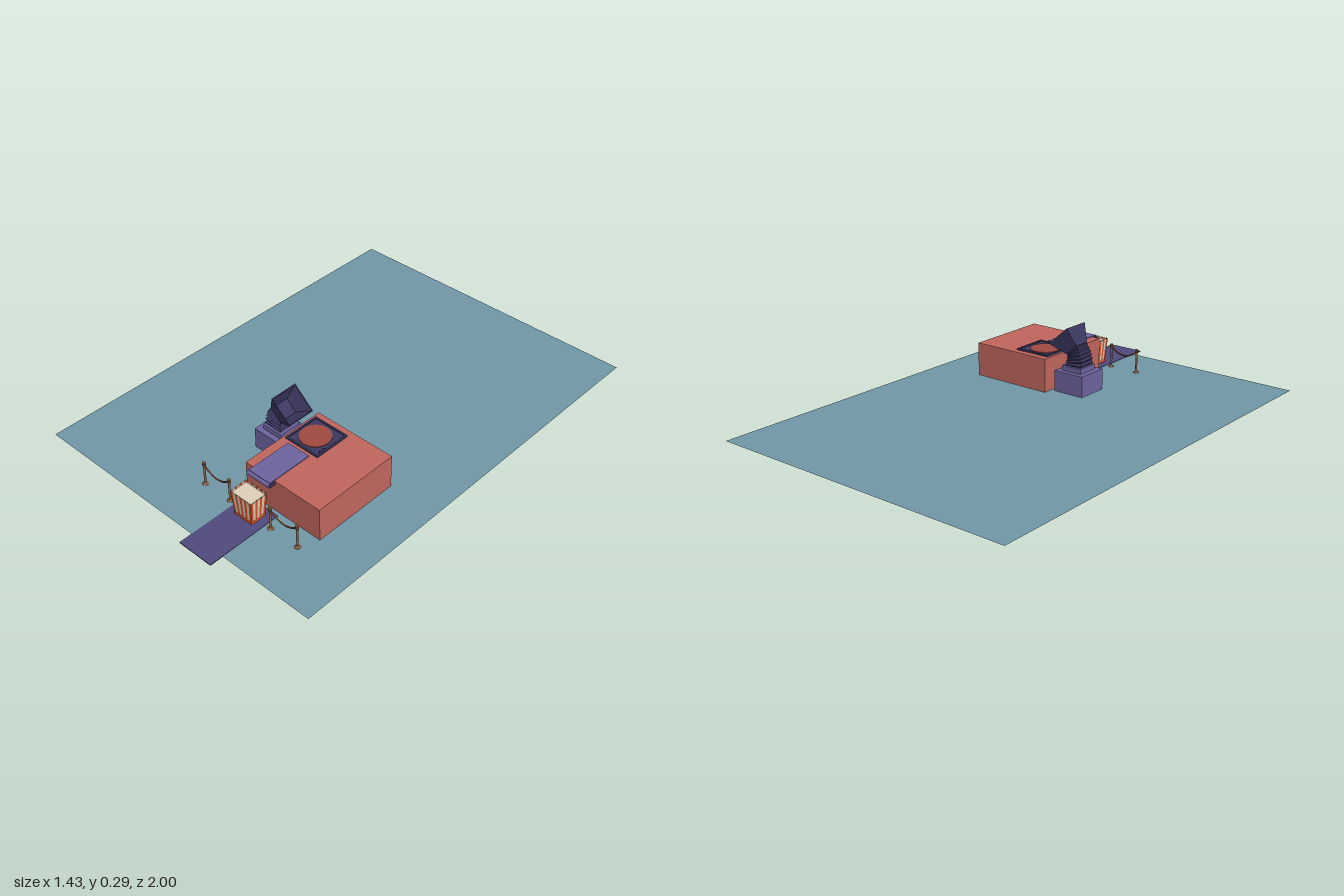
import * as THREE from 'three';

const BLUE = 0x7097a6, RED = 0xc0665e, PURPLE = 0x6e639f, DARK = 0x3c3860, CARPET = 0x4f4a7c;
const BROWN = 0x8a6040, ORANGE = 0xd8532a, CREAM = 0xddd0b8, DISC = 0xa04a40;

function mat(color, flat = true) {
  return new THREE.MeshStandardMaterial({ color, flatShading: flat, side: THREE.DoubleSide });
}

function add(parent, name, geometry, color, x = 0, y = 0, z = 0, flat = true) {
  const mesh = new THREE.Mesh(geometry, mat(color, flat));
  mesh.name = name;
  mesh.position.set(x, y, z);
  parent.add(mesh);
  return mesh;
}

// Box given by its minimum and maximum corners
function box(parent, name, color, [x0, y0, z0], [x1, y1, z1]) {
  return add(parent, name, new THREE.BoxGeometry(x1 - x0, y1 - y0, z1 - z0), color,
    (x0 + x1) / 2, (y0 + y1) / 2, (z0 + z1) / 2);
}

// Skin over a row of four-cornered sections
function loft(sections) {
  const pos = [], index = [];
  sections.forEach(s => s.forEach(p => pos.push(...p)));
  for (let i = 0; i < sections.length - 1; i++) {
    for (let k = 0; k < 4; k++) {
      const a = i * 4 + k, b = i * 4 + (k + 1) % 4;
      index.push(a, b, b + 4, a, b + 4, a + 4);
    }
  }
  const g = new THREE.BufferGeometry();
  g.setAttribute('position', new THREE.Float32BufferAttribute(pos, 3));
  g.setIndex(index);
  const flat = g.toNonIndexed();
  flat.computeVertexNormals();
  return flat;
}

// Rectangle centred on (x, y), leaning by an angle towards +x
function section(x, y, lean, halfW, halfZ) {
  const dx = Math.cos(lean) * halfW, dy = -Math.sin(lean) * halfW;
  return [[x - dx, y - dy, halfZ], [x + dx, y + dy, halfZ], [x + dx, y + dy, -halfZ], [x - dx, y - dy, -halfZ]];
}

function makeVent() {
  const g = new THREE.Group();
  g.name = 'vent';
  box(g, 'ventBase', PURPLE, [-0.065, 0, -0.075], [0.085, 0.097, 0.075]);
  box(g, 'ventCollar', PURPLE, [-0.038, 0.097, -0.052], [0.062, 0.12, 0.052]);
  // Pleated bellows bending forward
  const curve = new THREE.QuadraticBezierCurve(
    new THREE.Vector2(0.01, 0.12), new THREE.Vector2(0.002, 0.165), new THREE.Vector2(0.022, 0.192));
  const pleats = [], n = 12;
  for (let i = 0; i <= n; i++) {
    const t = i / n, p = curve.getPoint(t), r = 0.044 - 0.008 * t - (i % 2 ? 0 : 0.006);
    pleats.push(section(p.x, p.y, 0.72 * t, r, r + 0.003));
  }
  add(g, 'bellows', loft(pleats), DARK);
  // Flared hood with a recessed throat
  add(g, 'hood', loft([
    section(0.022, 0.192, 0.72, 0.036, 0.038), section(0.077, 0.252, 0.73, 0.064, 0.065),
    section(0.076, 0.251, 0.73, 0.06, 0.061), section(0.035, 0.206, 0.72, 0.032, 0.034),
    section(0.035, 0.206, 0.72, 0.001, 0.001)]), DARK);
  g.position.z = 0.36;
  return g;
}

function makeBucket() {
  const g = new THREE.Group();
  g.name = 'popcornBucket';
  const h = 0.122, lo = [0.045, 0.034], hi = [0.056, 0.042];
  const sides = [[0, 9], [1, 7], [2, 9], [3, 7]];
  for (const [side, count] of sides) {
    const odd = side % 2, face = new THREE.Group();
    const w0 = lo[odd], w1 = hi[odd], d0 = lo[1 - odd], d1 = hi[1 - odd];
    face.rotation.y = side * Math.PI / 2;
    face.name = 'bucketSide';
    for (let i = 0; i < count; i++) {
      // One stripe, ending in a shallow rounded tip
      const a = (i / count) * 2 - 1, b = ((i + 1) / count) * 2 - 1, m = (a + b) / 2;
      const s = new THREE.Shape();
      s.moveTo(a * w0, 0.004);
      s.lineTo(b * w0, 0.004);
      s.lineTo(b * w1, h - 0.006);
      s.quadraticCurveTo(m * w1, h + 0.005, a * w1, h - 0.006);
      const geo = new THREE.ShapeGeometry(s, 4), p = geo.attributes.position;
      for (let k = 0; k < p.count; k++) p.setZ(k, d0 + (d1 - d0) * p.getY(k) / h);
      geo.computeVertexNormals();
      add(face, 'stripe', geo, i % 2 ? CREAM : ORANGE);
    }
    g.add(face);
  }
  box(g, 'bucketFoot', ORANGE, [-0.047, 0, -0.036], [0.047, 0.018, 0.036]);
  box(g, 'popcornFill', CREAM, [-0.052, 0.1, -0.038], [0.052, 0.112, 0.038]);
  g.position.set(0.2, 0, 0.722);
  return g;
}

function makeBarrier(x) {
  const g = new THREE.Group();
  g.name = 'ropeBarrier';
  const profile = [[0, 0], [0.013, 0], [0.013, 0.004], [0.006, 0.009], [0.0045, 0.012], [0.0045, 0.092],
    [0.008, 0.097], [0.008, 0.1], [0.005, 0.103], [0.008, 0.108], [0.006, 0.113], [0, 0.115]];
  const lathe = new THREE.LatheGeometry(profile.map(p => new THREE.Vector2(...p)), 12);
  for (const s of [-1, 1]) add(g, 'post', lathe, BROWN, s * 0.07, 0, 0);
  const sag = new THREE.QuadraticBezierCurve3(
    new THREE.Vector3(-0.068, 0.1, 0), new THREE.Vector3(0, 0.04, 0), new THREE.Vector3(0.068, 0.1, 0));
  add(g, 'rope', new THREE.TubeGeometry(sag, 16, 0.0035, 6), 0x7a4634, 0, 0, 0, false);
  g.position.set(x, 0, 0.72);
  return g;
}

export function createModel() {
  const model = new THREE.Group();
  model.name = 'cinemaLot';

  // Ground, main hall and entrance carpet
  const ground = add(model, 'ground', new THREE.PlaneGeometry(1.435, 1.94), BLUE, 0, 0.003, -0.03);
  ground.rotation.x = -Math.PI / 2;
  box(model, 'hall', RED, [0.102, 0.003, 0.24], [0.487, 0.155, 0.64]);
  box(model, 'carpet', CARPET, [0.116, 0.001, 0.655], [0.284, 0.005, 1.0]);

  // Roof plate with raised rim and round hatch
  const roof = new THREE.Group();
  roof.name = 'roofHatch';
  box(roof, 'plate', DARK, [-0.085, 0.154, -0.085], [0.085, 0.158, 0.085]);
  for (const s of [-1, 1]) {
    add(roof, 'rim', new THREE.BoxGeometry(0.17, 0.008, 0.008), DARK, 0, 0.158, s * 0.081);
    add(roof, 'rim', new THREE.BoxGeometry(0.008, 0.008, 0.17), DARK, s * 0.081, 0.158, 0);
  }
  add(roof, 'hatch', new THREE.CylinderGeometry(0.066, 0.066, 0.004, 32), DISC, -0.005, 0.159, 0);
  for (const z of [0.035, 0.055]) add(roof, 'knob', new THREE.SphereGeometry(0.005, 8, 6), DARK, 0.072, 0.16, z);
  roof.position.set(0.2, 0, 0.355);
  model.add(roof);

  // Roof strip running forward to a canopy over the entrance
  box(model, 'roofStrip', PURPLE, [0.144, 0.154, 0.455], [0.256, 0.159, 0.665]);
  box(model, 'canopy', DARK, [0.14, 0.138, 0.638], [0.26, 0.154, 0.668]);
  const lip = add(model, 'canopyLip', new THREE.CylinderGeometry(0.009, 0.009, 0.116, 12), PURPLE, 0.2, 0.148, 0.667);
  lip.rotation.z = Math.PI / 2;

  model.add(makeVent(), makeBucket(), makeBarrier(0.02), makeBarrier(0.38));
  return model;
}
